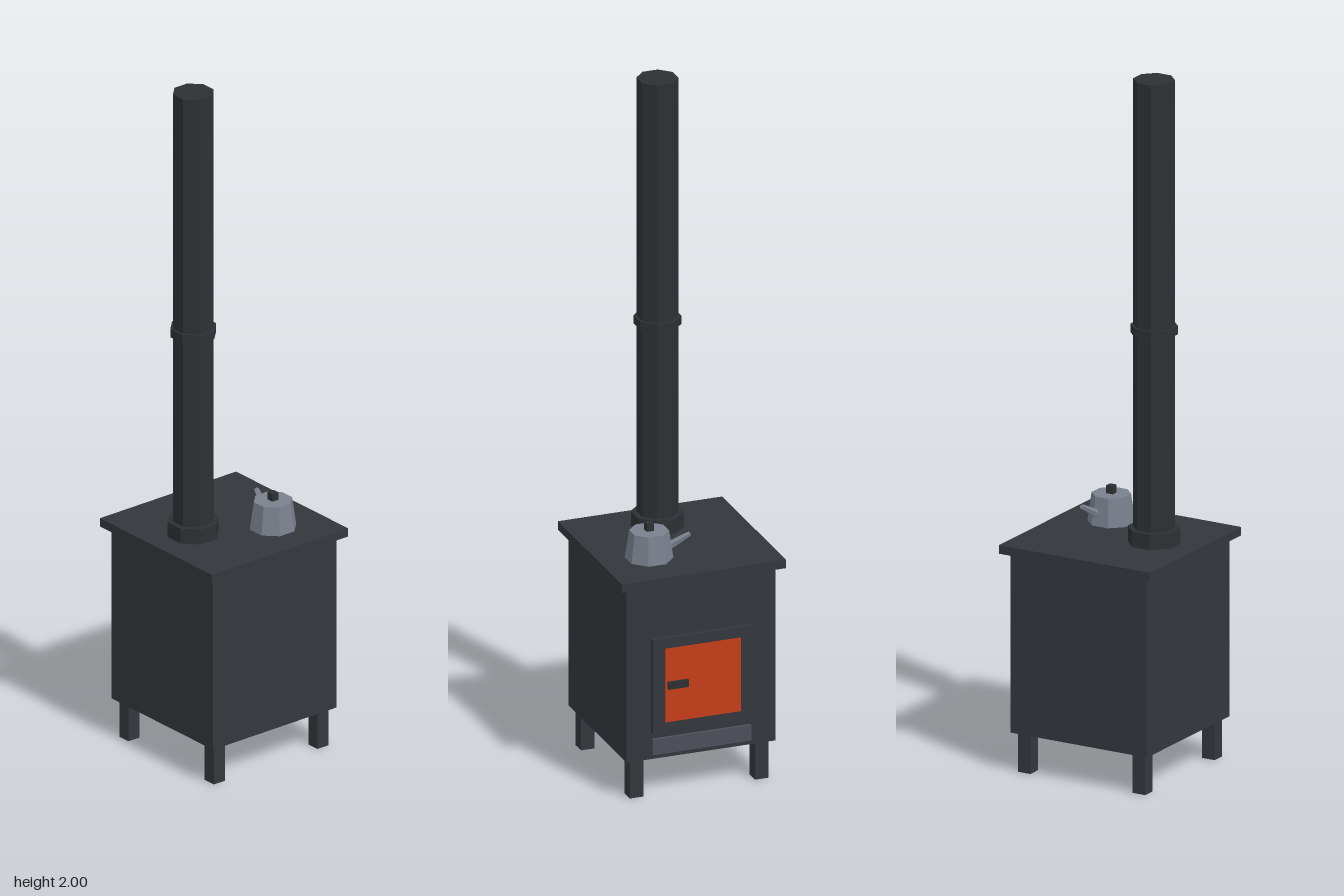
import * as THREE from 'three';

const paint = (color) => new THREE.MeshStandardMaterial({ color, flatShading: true });

export function createModel() {
  const stove = new THREE.Group();
  stove.name = 'woodStove';

  const iron = paint(0x33373c);
  const pipeIron = paint(0x2d3034);
  const steel = paint(0x7a808d);
  const drawerSteel = paint(0x4b4f58);
  const fire = paint(0xc43d17);

  const add = (name, geometry, material, parent = stove) => {
    const mesh = new THREE.Mesh(geometry, material);
    mesh.name = name;
    parent.add(mesh);
    return mesh;
  };
  const box = (name, size, pos, material, parent) => {
    const mesh = add(name, new THREE.BoxGeometry(...size), material, parent);
    mesh.position.set(...pos);
    return mesh;
  };
  // Eight-sided drum with flat sides facing x and z; radii are to the flats
  const drum = (name, top, bottom, y0, y1, x, z, material, parent) => {
    const k = 1 / Math.cos(Math.PI / 8);
    const geometry = new THREE.CylinderGeometry(top * k, bottom * k, y1 - y0, 8).rotateY(Math.PI / 8);
    const mesh = add(name, geometry, material, parent);
    mesh.position.set(x, (y0 + y1) / 2, z);
    return mesh;
  };

  // Firebox, hot plate and legs
  box('firebox', [0.44, 0.525, 0.44], [0, 0.3775, 0], iron);
  box('hotPlate', [0.486, 0.025, 0.486], [0, 0.6475, 0], iron);
  for (const x of [-1, 1]) {
    for (const z of [-1, 1]) box('leg', [0.04, 0.118, 0.04], [x * 0.185, 0.059, z * 0.185], iron);
  }

  // Flue pipe
  const flue = new THREE.Group();
  flue.name = 'flue';
  stove.add(flue);
  drum('flueFlange', 0.068, 0.068, 0.66, 0.705, 0, 0.11, pipeIron, flue);
  drum('fluePipe', 0.054, 0.054, 0.66, 2, 0, 0.11, pipeIron, flue);
  drum('flueCollar', 0.061, 0.061, 1.265, 1.29, 0, 0.11, pipeIron, flue);

  // Door with glowing window, handle and ash drawer
  const door = new THREE.Group();
  door.name = 'door';
  stove.add(door);
  box('doorPanel', [0.296, 0.28, 0.016], [0, 0.335, -0.227], iron, door);
  box('doorWindow', [0.224, 0.22, 0.006], [0, 0.335, -0.233], fire, door);
  box('doorHandle', [0.06, 0.022, 0.012], [0.075, 0.335, -0.237], pipeIron, door);
  box('ashDrawer', [0.292, 0.046, 0.012], [0, 0.153, -0.224], drawerSteel);

  // Kettle
  const kettle = new THREE.Group();
  kettle.name = 'kettle';
  stove.add(kettle);
  drum('kettleBody', 0.051, 0.062, 0.66, 0.742, 0.103, -0.09, steel, kettle);
  box('lidKnob', [0.021, 0.024, 0.021], [0.103, 0.753, -0.09], pipeIron, kettle);

  // Tapered spout, leaning up and out from the kettle
  const start = new THREE.Vector3(0.055, 0.69, -0.103);
  const end = new THREE.Vector3(-0.006, 0.727, -0.12);
  const along = end.clone().sub(start);
  const spout = add('spout', new THREE.CylinderGeometry(0.007, 0.013, along.length(), 5), steel, kettle);
  spout.position.copy(start).add(end).multiplyScalar(0.5);
  spout.quaternion.setFromUnitVectors(new THREE.Vector3(0, 1, 0), along.normalize());

  return stove;
}
